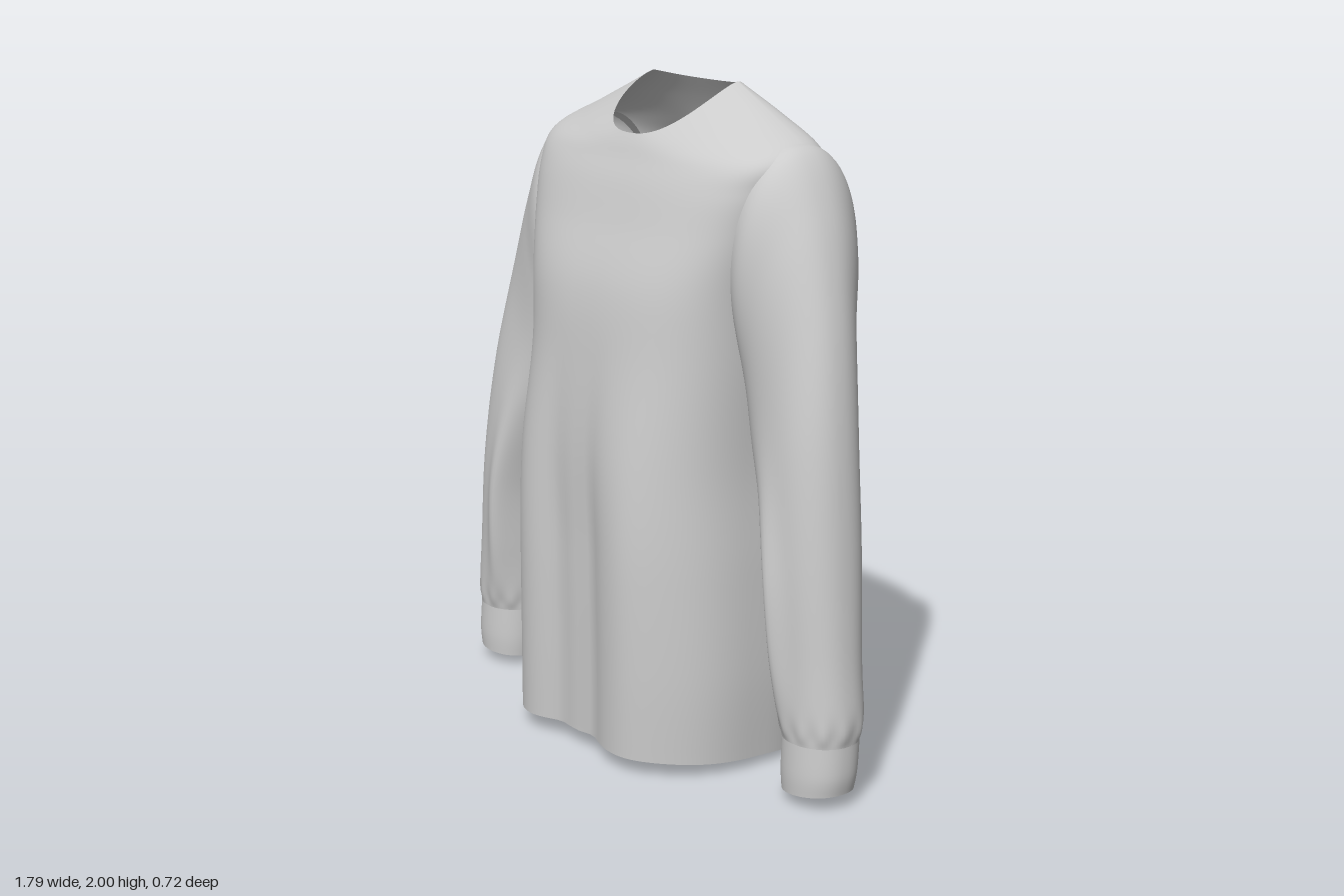
import * as THREE from 'three';

const TAU = Math.PI * 2;
const cloth = new THREE.MeshStandardMaterial({ color: 0xcccccc, side: THREE.DoubleSide, roughness: 0.9 });
const bump = (v, centre, width) => Math.exp(-(((v - centre) / width) ** 2));
const power = (v, e) => Math.sign(v) * Math.abs(v) ** e;
const { smoothstep } = THREE.MathUtils;

// Smooth (Catmull-Rom) blend through the rows of a section table, t in 0..1
function sampleRows(rows, t) {
  const f = t * (rows.length - 1);
  const i = Math.min(Math.floor(f), rows.length - 2);
  const u = f - i;
  const at = (k) => rows[Math.max(0, Math.min(rows.length - 1, k))];
  return rows[i].map((b, c) => {
    const a = at(i - 1)[c], d = at(i + 1)[c], e = at(i + 2)[c];
    return b + 0.5 * u * (d - a + u * (2 * a - 5 * b + 4 * d - e + u * (3 * (b - d) + e - a)));
  });
}

// Open tube of cloth: point(t, angle) gives [x, y, z]
function loft(name, rings, sides, point, flip) {
  const positions = [], index = [];
  for (let r = 0; r <= rings; r++) {
    for (let s = 0; s < sides; s++) positions.push(...point(r / rings, (s / sides) * TAU));
  }
  for (let r = 0; r < rings; r++) {
    for (let s = 0; s < sides; s++) {
      const a = r * sides + s, b = r * sides + ((s + 1) % sides);
      const c = a + sides, d = b + sides;
      if (flip) index.push(a, b, c, b, d, c);
      else index.push(a, c, b, b, c, d);
    }
  }
  const geometry = new THREE.BufferGeometry();
  geometry.setAttribute('position', new THREE.Float32BufferAttribute(positions, 3));
  geometry.setIndex(index);
  geometry.computeVertexNormals();
  const mesh = new THREE.Mesh(geometry, cloth);
  mesh.name = name;
  return mesh;
}

// Body rings from hem to neckline:
// y front, y side, y back, centre x, half width, z front, z side, z back, roundness
const bodyRows = [
  [0.05, 0.03, 0.0, 0.03, 0.45, 0.352, 0, -0.345, 2.7],
  [0.3, 0.28, 0.27, 0.035, 0.452, 0.355, 0, -0.35, 2.7],
  [0.62, 0.6, 0.6, 0.033, 0.443, 0.357, 0, -0.355, 2.7],
  [0.92, 0.9, 0.9, 0.025, 0.434, 0.35, 0, -0.358, 2.7],
  [1.2, 1.2, 1.2, 0.03, 0.437, 0.32, -0.02, -0.358, 2.7],
  [1.42, 1.42, 1.42, 0.02, 0.462, 0.286, -0.05, -0.353, 2.9],
  [1.6, 1.6, 1.6, 0.01, 0.505, 0.222, -0.08, -0.342, 3.2],
  [1.71, 1.735, 1.74, 0.01, 0.532, 0.183, -0.09, -0.31, 3.1],
  [1.78, 1.835, 1.83, 0.015, 0.53, 0.152, -0.1, -0.265, 2.8],
  [1.82, 1.915, 1.92, 0.02, 0.38, 0.135, -0.11, -0.215, 2.6],
  [1.85, 2.0, 1.985, 0.02, 0.2, 0.12, -0.12, -0.175, 2.5],
];

function bodyPoint(t, angle) {
  const [yF, yS, yB, cx, w, zF, zS, zB, n] = sampleRows(bodyRows, t);
  const c = Math.cos(angle), s = Math.sin(angle);
  const x = w * power(c, 2 / n);
  const k = Math.abs(s) ** (2 / n);
  const y = yS + ((s > 0 ? yF : yB) - yS) * k ** 1.3;
  let z = zS + ((s > 0 ? zF : zB) - zS) * k;
  // Hanging folds: deep centre valley at the back, soft drapes at the front
  const fade = 1 - smoothstep(y, 1.55, 1.9);
  const drape = 1 - smoothstep(y, 0.6, 1.35);
  if (s < 0) {
    z += k * fade * (0.07 * bump(x, -0.02, 0.13) - 0.024 * (bump(x, 0.24, 0.11) + bump(x, -0.26, 0.11)));
  } else {
    z += k * drape * (0.032 * (bump(x, 0.27, 0.12) + bump(x, -0.26, 0.12))
      - 0.022 * (bump(x, 0.06, 0.06) + bump(x, -0.09, 0.06)) - 0.012 * bump(x, 0, 0.15));
  }
  return [cx + x, y, z];
}

// Sleeve rings from shoulder to cuff: outer x, outer y, inner x, inner y, z front, z back
const sleeveRows = [
  [0.41, 1.855, 0.36, 1.35, 0.07, -0.27],
  [0.54, 1.838, 0.415, 1.2, 0.115, -0.312],
  [0.645, 1.67, 0.44, 1.06, 0.105, -0.27],
  [0.73, 1.42, 0.475, 0.93, 0.1, -0.195],
  [0.8, 1.1, 0.562, 0.785, 0.115, -0.148],
  [0.85, 0.75, 0.618, 0.61, 0.122, -0.128],
  [0.88, 0.42, 0.64, 0.39, 0.12, -0.11],
  [0.895, 0.26, 0.65, 0.25, 0.12, -0.108],
  [0.888, 0.19, 0.66, 0.19, 0.115, -0.095],
];
const cuffRows = [
  [0.888, 0.19, 0.66, 0.19, 0.115, -0.095],
  [0.889, 0.1, 0.662, 0.09, 0.12, -0.087],
  [0.88, 0.045, 0.668, 0.028, 0.118, -0.08],
];

function sleevePoint(rows, side, gathered) {
  return (t, angle) => {
    const [ox, oy, ix, iy, zF, zB] = sampleRows(rows, t);
    let c = Math.cos(angle), s = Math.sin(angle), ridge = 0;
    if (gathered) {
      // Gathers above the cuff and a long pressed ridge down the inner front
      const ripple = 1 + 0.03 * bump(t, 0.92, 0.05) * Math.sin(angle * 11);
      c *= ripple;
      s *= ripple;
      ridge = 0.045 * bump(angle, 2.1, 0.4) * bump(t, 0.65, 0.2);
    }
    const x = (ox + ix) / 2 + ((ox - ix) / 2) * c;
    const y = (oy + iy) / 2 + ((oy - iy) / 2) * c;
    const z = (zF + zB) / 2 + ((zF - zB) / 2) * power(s, 0.9) + ridge;
    // Both shoulders sit slightly to the left of the cuffs
    return [side * x + 0.017 * smoothstep(y, 0.6, 1.4), y, z];
  };
}

export function createModel() {
  const shirt = new THREE.Group();
  shirt.name = 'longSleeveShirt';
  shirt.add(loft('body', 80, 128, bodyPoint, false));

  for (const [label, side] of [['left', 1], ['right', -1]]) {
    const sleeve = new THREE.Group();
    sleeve.name = label + 'Sleeve';
    sleeve.add(loft(label + 'SleeveFabric', 64, 72, sleevePoint(sleeveRows, side, true), side > 0));
    sleeve.add(loft(label + 'Cuff', 12, 72, sleevePoint(cuffRows, side, false), side > 0));
    shirt.add(sleeve);
  }
  return shirt;
}
